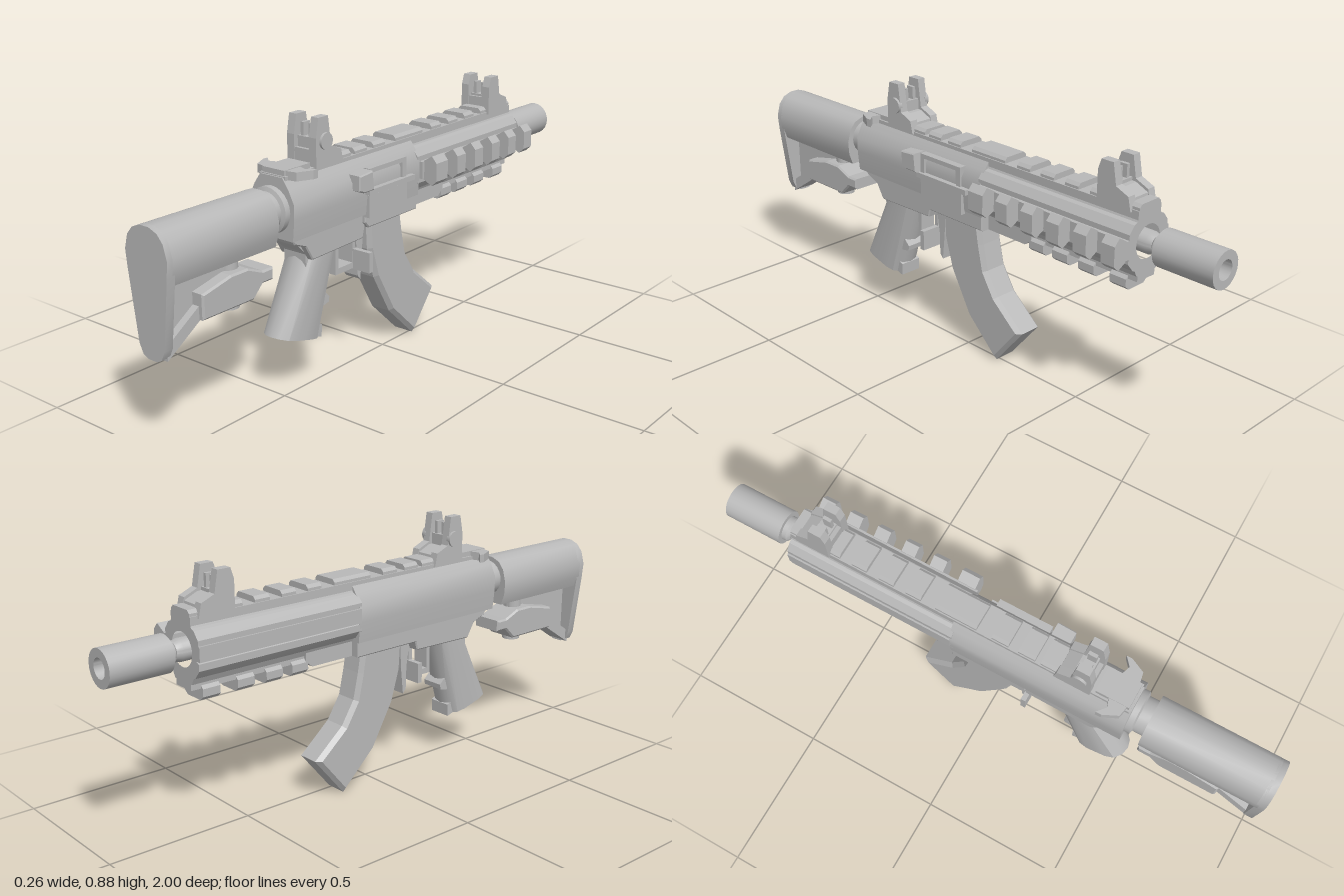
import * as THREE from 'three';
import { toCreasedNormals } from 'three/addons/utils/BufferGeometryUtils.js';

export function createModel() {
  const grey = new THREE.MeshStandardMaterial({ color: 0xb8b8b8 });
  grey.name = 'grey metal';
  const root = new THREE.Group();
  const g = new THREE.Group();
  g.name = 'rifle';
  g.position.x = -0.025;
  root.add(g);

  const add = (name, geo) => {
    const m = new THREE.Mesh(geo, grey);
    m.name = name;
    g.add(m);
  };
  const shapeOf = (pts) => new THREE.Shape(pts.map(([x, y]) => new THREE.Vector2(x, y)));
  // Side outline in [z, y], given thickness across x
  const side = (name, pts, x0, x1, b = 0) => {
    const geo = new THREE.ExtrudeGeometry(shapeOf(pts.map(([z, y]) => [-z, y])), {
      depth: x1 - x0 - 2 * b, bevelEnabled: b > 0, bevelThickness: b,
      bevelSize: b, bevelOffset: -b, bevelSegments: 1,
    });
    add(name, geo.translate(0, 0, x0 + b).rotateY(Math.PI / 2));
  };
  // Cross-section in [x, y], run along z
  const cross = (name, pts, z0, z1, holes = []) => {
    const s = shapeOf(pts);
    s.holes.push(...holes);
    const geo = new THREE.ExtrudeGeometry(s, { depth: z1 - z0, bevelEnabled: false, curveSegments: 20 });
    add(name, toCreasedNormals(geo.translate(0, 0, z0), 0.5));
  };
  const mirror = (half) => [...half, ...half.slice().reverse().map(([x, y]) => [-x, y])];
  const box = (name, x0, x1, y0, y1, z0, z1) => add(name,
    new THREE.BoxGeometry(x1 - x0, y1 - y0, z1 - z0).translate((x0 + x1) / 2, (y0 + y1) / 2, (z0 + z1) / 2));
  // Profile in [radius, z] turned about the bore
  const turned = (name, pts) => {
    const geo = new THREE.LatheGeometry(pts.map(([r, z]) => new THREE.Vector2(r, z)), 24);
    add(name, toCreasedNormals(geo.rotateX(Math.PI / 2).translate(0, 0.62, 0), 0.5));
  };
  const rod = (name, r, len, axis, x, y, z) => {
    const geo = new THREE.CylinderGeometry(r, r, len, 16);
    if (axis === 'x') geo.rotateZ(Math.PI / 2);
    add(name, toCreasedNormals(geo.translate(x, y, z), 0.5));
  };

  // Stock: tube, teardrop butt plate, thin web, lower arm and bolt
  const crown = [[0.018, 0.697], [0.05, 0.685], [0.072, 0.66], [0.085, 0.615]];
  cross('stockTube', mirror([...crown, [0.082, 0.57], [0.068, 0.53]]), 0.565, 0.98);
  cross('buttPlate', mirror([...crown, [0.08, 0.56], [0.052, 0.34], [0.038, 0.31], [0.018, 0.3]]), 0.97, 1);
  side('stockWeb', [[0.98, 0.535], [0.98, 0.32], [0.85, 0.4], [0.67, 0.46], [0.67, 0.535]], -0.015, 0.015);
  side('stockStrut', [[0.98, 0.3], [0.98, 0.345], [0.85, 0.43], [0.85, 0.385]], -0.04, 0.04);
  side('stockArm', [[0.855, 0.385], [0.855, 0.465], [0.74, 0.49], [0.67, 0.49], [0.61, 0.465],
    [0.565, 0.465], [0.565, 0.425], [0.61, 0.425], [0.65, 0.385]], -0.058, 0.058, 0.006);
  rod('stockBolt', 0.032, 0.17, 'y', 0, 0.45, 0.7);

  // Collar and neck between receiver and stock
  turned('stockCollar', [[0, 0.49], [0.075, 0.49], [0.075, 0.525], [0.062, 0.53], [0.062, 0.57], [0, 0.57]]);

  // Receiver
  cross('upperReceiver', mirror([[0.045, 0.725], [0.07, 0.69], [0.09, 0.65], [0.09, 0.6], [0.083, 0.53]]), -0.12, 0.505);
  side('lowerReceiver', [[0.5, 0.545], [0.48, 0.51], [0.43, 0.49], [0.4, 0.44], [0.155, 0.445],
    [0.14, 0.5], [0.14, 0.545]], -0.068, 0.068, 0.004);
  side('magazineWell', [[0.158, 0.545], [0.158, 0.5], [0.14, 0.48], [-0.12, 0.48], [-0.12, 0.545]], -0.08, 0.08, 0.004);

  // Ejection port: raised frame round a recess, with the door folded below
  box('portFrameTop', 0.07, 0.098, 0.67, 0.685, -0.035, 0.158);
  box('portFrameFront', 0.07, 0.098, 0.6, 0.67, -0.035, -0.015);
  box('portFrameRear', 0.07, 0.098, 0.6, 0.67, 0.14, 0.158);
  box('portDoor', 0.08, 0.108, 0.6, 0.618, -0.07, 0.168);
  box('portPanel', 0.07, 0.098, 0.52, 0.595, -0.04, 0.158);
  side('forwardAssist', [[0.232, 0.63], [0.232, 0.68], [0.165, 0.685], [0.158, 0.62], [0.21, 0.62]], 0.05, 0.12, 0.004);

  // Charging handle, a shallow chevron lying flat
  const handle = new THREE.ExtrudeGeometry(shapeOf(mirror([[0.03, -0.42], [0.075, -0.435], [0.104, -0.41],
    [0.104, -0.43], [0.08, -0.48], [0.03, -0.49]])), { depth: 0.028, bevelEnabled: false });
  add('chargingHandle', handle.rotateX(-Math.PI / 2).translate(0, 0.715, 0));

  // Grip: a prism bent into a raked, rounded column with a sloping base
  const gripGeo = new THREE.CylinderGeometry(1, 1, 1, 16);
  const p = gripGeo.attributes.position;
  const { lerp, clamp } = THREE.MathUtils;
  for (let i = 0; i < p.count; i++) {
    const t = p.getY(i) + 0.5;
    const u = (p.getZ(i) + 1) / 2;
    p.setXYZ(i, clamp(p.getX(i) * 1.25, -1, 1) * 0.061, lerp(lerp(0.155, 0.206, u), 0.45, t),
      lerp(lerp(0.345, 0.262, t), lerp(0.53, 0.405, t), u));
  }
  add('grip', toCreasedNormals(gripGeo, 0.6));
  side('gripTang', [[0.47, 0.52], [0.41, 0.46], [0.408, 0.405], [0.3, 0.405], [0.3, 0.52]], -0.045, 0.045);
  side('gripToe', [[0.42, 0.176], [0.335, 0.152], [0.333, 0.195], [0.42, 0.23]], -0.04, 0.04);
  side('fingerRidge', [[0.36, 0.265], [0.325, 0.255], [0.297, 0.262], [0.294, 0.28], [0.315, 0.3], [0.36, 0.31]], -0.04, 0.04);

  // Trigger guard and magazine catch
  box('guardBottom', -0.03, 0.03, 0.335, 0.355, 0.15, 0.25);
  box('guardRear', -0.03, 0.03, 0.335, 0.45, 0.235, 0.25);
  box('guardFront', -0.03, 0.03, 0.345, 0.45, 0.15, 0.165);
  box('guardWings', -0.083, 0.1, 0.332, 0.402, 0.145, 0.163);
  side('magazineCatch', [[0.155, 0.48], [0.11, 0.48], [0.115, 0.38], [0.125, 0.285], [0.138, 0.3], [0.14, 0.38]], -0.03, 0.03);

  // Curved magazine with a raised centre panel
  side('magazine', [[0.105, 0.5], [-0.07, 0.5], [-0.085, 0.41], [-0.105, 0.32], [-0.155, 0.24], [-0.27, 0.143],
    [-0.152, 0], [-0.02, 0.125], [0.065, 0.275], [0.098, 0.385]], -0.051, 0.051, 0.014);

  // Handguard with lengthwise grooves, an open bore and a low ridge on its right
  const bore = new THREE.Path().absarc(0, 0.62, 0.055, 0, Math.PI * 2, true);
  cross('handguard', mirror([[0.045, 0.715], [0.055, 0.695], [0.068, 0.69], [0.088, 0.665], [0.088, 0.648],
    [0.072, 0.642], [0.072, 0.6], [0.088, 0.594], [0.088, 0.572], [0.066, 0.545], [0.055, 0.54], [0.045, 0.52]]),
  -0.73, -0.11, [bore]);
  box('rightRidge', -0.094, -0.07, 0.6, 0.648, -0.73, -0.115);

  // Barrel and hollow muzzle
  turned('barrel', [[0, -0.82], [0.045, -0.82], [0.042, -0.775], [0.03, -0.765], [0.036, -0.745],
    [0.036, -0.11], [0, -0.11]]);
  turned('muzzle', [[0, -0.88], [0.032, -0.88], [0.032, -1], [0.06, -1], [0.06, -0.79], [0, -0.79]]);

  // Top rail
  box('topRail', -0.052, 0.052, 0.7, 0.728, -0.73, 0.5);
  box('topRailRear', -0.045, 0.045, 0.72, 0.745, 0.38, 0.495);
  for (const [z, w] of [[0.22, 0.06], [0.14, 0.06], [0.045, 0.06], [-0.115, 0.15], [-0.27, 0.055], [-0.37, 0.055],
    [-0.47, 0.055], [-0.57, 0.055], [-0.71, 0.04]]) {
    cross('topRailTooth', mirror([[0.038, 0.747], [0.048, 0.737], [0.048, 0.728], [0.038, 0.715]]), z - w / 2, z + w / 2);
  }

  // Side rail on the left
  box('sideRail', 0.065, 0.102, 0.588, 0.648, -0.73, -0.12);
  for (let i = 0; i < 6; i++) {
    const z = -0.73 + i * 0.107;
    cross('sideRailTooth', [[0.1, 0.65], [0.1, 0.585], [0.133, 0.567], [0.153, 0.585], [0.153, 0.648], [0.133, 0.67]],
      z, z + (i === 5 ? 0.065 : 0.05));
  }

  // Bottom rail
  box('bottomRail', -0.04, 0.04, 0.5, 0.53, -0.73, -0.12);
  side('bottomRailBlock', [[-0.12, 0.48], [-0.12, 0.53], [-0.31, 0.53], [-0.31, 0.5], [-0.285, 0.48]], -0.05, 0.05);
  for (const z of [-0.333, -0.433, -0.54, -0.665]) {
    cross('bottomRailTooth', mirror([[0.035, 0.515], [0.05, 0.5], [0.05, 0.475], [0.035, 0.462]]), z - 0.031, z + 0.031);
  }

  // Flip-up sights: two ears with a notched post between
  const sight = (name, z, top) => {
    const at = (pts) => pts.map(([dz, y]) => [z + dz, y]);
    for (const s of [-1, 1]) {
      side(name + 'Ear', at([[0.062, 0.72], [0.062, 0.82], [0.05, top], [0.005, top], [-0.008, 0.785],
        [-0.055, 0.765], [-0.065, 0.72]]), s * 0.045 - 0.0145, s * 0.045 + 0.0145);
      box(name + 'Prong', s * 0.016 - 0.006, s * 0.016 + 0.006, 0.77, top - 0.025, z + 0.01, z + 0.04);
    }
    side(name + 'Base', at([[0.06, 0.72], [0.06, 0.78], [-0.01, 0.775], [-0.055, 0.755], [-0.06, 0.72]]), -0.056, 0.056);
    box(name + 'Block', -0.035, 0.035, 0.75, top - 0.068, z + 0.005, z + 0.045);
  };
  sight('rearSight', 0.305, 0.882);
  sight('frontSight', -0.64, 0.855);
  for (const s of [-1, 1]) rod('rearSightKnob', 0.027, 0.016, 'x', s * 0.06, 0.805, 0.325);

  return root;
}
